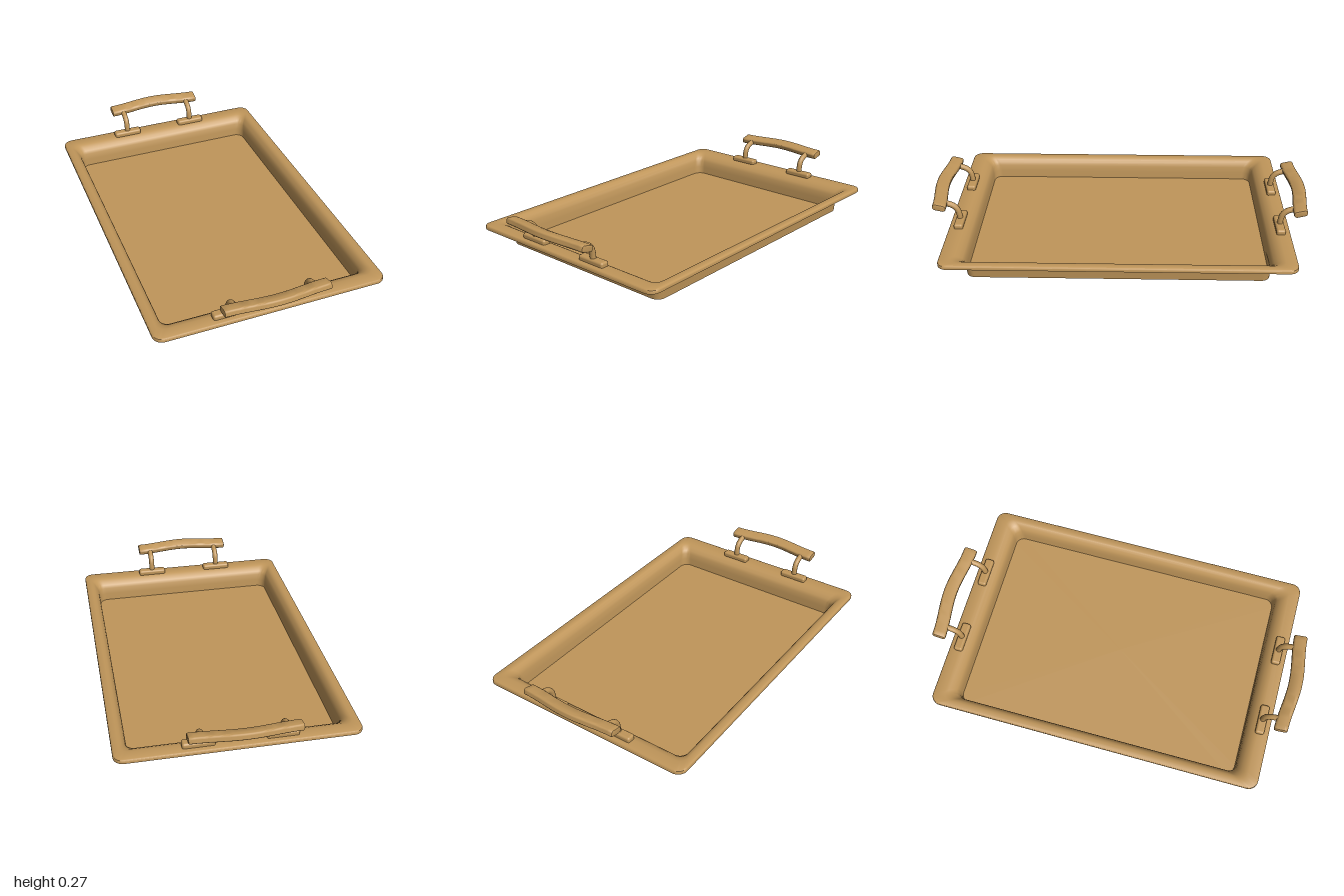
import * as THREE from 'three';
import { toCreasedNormals } from 'three/addons/utils/BufferGeometryUtils.js';
import { RoundedBoxGeometry } from 'three/addons/geometries/RoundedBoxGeometry.js';

const brass = new THREE.MeshStandardMaterial({ color: 0xc0965a, side: THREE.DoubleSide });
brass.name = 'brass';

function add(parent, name, geometry, x = 0, y = 0, z = 0) {
  const mesh = new THREE.Mesh(geometry, brass);
  mesh.name = name;
  mesh.position.set(x, y, z);
  parent.add(mesh);
  return mesh;
}

// Rounded rectangle ring, counter-clockwise seen from above
function ring(hx, hz, y, r, steps = 8) {
  const points = [];
  const corners = [[1, -1], [-1, -1], [-1, 1], [1, 1]];
  corners.forEach(([sx, sz], c) => {
    for (let i = 0; i <= steps; i++) {
      const a = (c + i / steps) * Math.PI / 2;
      points.push([sx * (hx - r) + r * Math.cos(a), y, sz * (hz - r) - r * Math.sin(a)]);
    }
  });
  return points;
}

// Pressed sheet: turned-down lip, flat rim, rolled shoulder, wall and floor
function trayGeometry() {
  const profile = [ // half width, half length, height, corner radius
    [0.600, 0.897, 0.100, 0.050],
    [0.600, 0.897, 0.113, 0.050],
    [0.598, 0.895, 0.117, 0.048],
    [0.592, 0.889, 0.120, 0.045],
    [0.566, 0.838, 0.120, 0.045],
    [0.553, 0.820, 0.117, 0.045],
    [0.542, 0.802, 0.106, 0.045],
    [0.533, 0.785, 0.092, 0.045],
    [0.527, 0.776, 0.075, 0.045],
    [0.523, 0.772, 0.040, 0.045],
    [0.520, 0.769, 0.000, 0.045],
  ];
  const rings = profile.map((p) => ring(...p));
  const n = rings[0].length;
  const index = [];
  for (let k = 0; k < rings.length - 1; k++) {
    for (let i = 0; i < n; i++) {
      const j = (i + 1) % n;
      const a = k * n + i, b = k * n + j, c = a + n, d = b + n;
      index.push(a, b, d, a, d, c);
    }
  }
  const last = (rings.length - 1) * n, centre = rings.length * n;
  for (let i = 0; i < n; i++) index.push(last + i, last + (i + 1) % n, centre);
  const g = new THREE.BufferGeometry();
  g.setAttribute('position', new THREE.Float32BufferAttribute([...rings.flat(2), 0, 0, 0], 3));
  g.setIndex(index);
  return toCreasedNormals(g, 0.7);
}

// Bar with rounded section, bowed outward in the middle
function gripGeometry() {
  const length = 0.54, w = 0.029, h = 0.011, r = 0.01, bevel = 0.007;
  const shape = new THREE.Shape();
  shape.moveTo(-w + r, -h);
  shape.lineTo(w - r, -h);
  shape.quadraticCurveTo(w, -h, w, -h + r);
  shape.lineTo(w, h - r);
  shape.quadraticCurveTo(w, h, w - r, h);
  shape.lineTo(-w + r, h);
  shape.quadraticCurveTo(-w, h, -w, h - r);
  shape.lineTo(-w, -h + r);
  shape.quadraticCurveTo(-w, -h, -w + r, -h);
  const g = new THREE.ExtrudeGeometry(shape, {
    depth: length - 2 * bevel, steps: 24, curveSegments: 4,
    bevelSize: bevel, bevelThickness: bevel, bevelSegments: 2,
  });
  g.translate(0, 0, -length / 2 + bevel);
  g.rotateY(-Math.PI / 2);
  const p = g.attributes.position;
  for (let i = 0; i < p.count; i++) {
    const t = p.getX(i) / (length / 2);
    p.setZ(i, p.getZ(i) + 0.024 * (0.5 + 0.5 * Math.cos(Math.PI * t)));
  }
  return toCreasedNormals(g, 0.7);
}

function makeHandle(name, x) {
  const handle = new THREE.Group();
  handle.name = name;
  handle.position.x = x;
  const curve = new THREE.CatmullRomCurve3([
    [0, 0.125, 0.847], [0, 0.165, 0.849], [0, 0.195, 0.857],
    [0, 0.216, 0.876], [0, 0.228, 0.905], [0, 0.236, 0.935],
  ].map((v) => new THREE.Vector3(...v)));
  for (const side of [-1, 1]) {
    const px = side * 0.2025;
    add(handle, 'handleFoot', new RoundedBoxGeometry(0.16, 0.034, 0.048, 3, 0.012), px, 0.128, 0.846);
    add(handle, 'handlePost', new THREE.TubeGeometry(curve, 16, 0.0155, 12), px);
  }
  const grip = add(handle, 'handleGrip', gripGeometry(), 0, 0.238, 0.939);
  grip.rotation.x = -0.24;
  return handle;
}

export function createModel() {
  const model = new THREE.Group();
  model.name = 'servingTray';
  add(model, 'trayPan', trayGeometry());
  model.add(makeHandle('frontHandle', -0.021));
  // Back handle is the front one turned round
  const back = makeHandle('backHandle', -0.003);
  back.rotation.y = Math.PI;
  model.add(back);
  return model;
}
